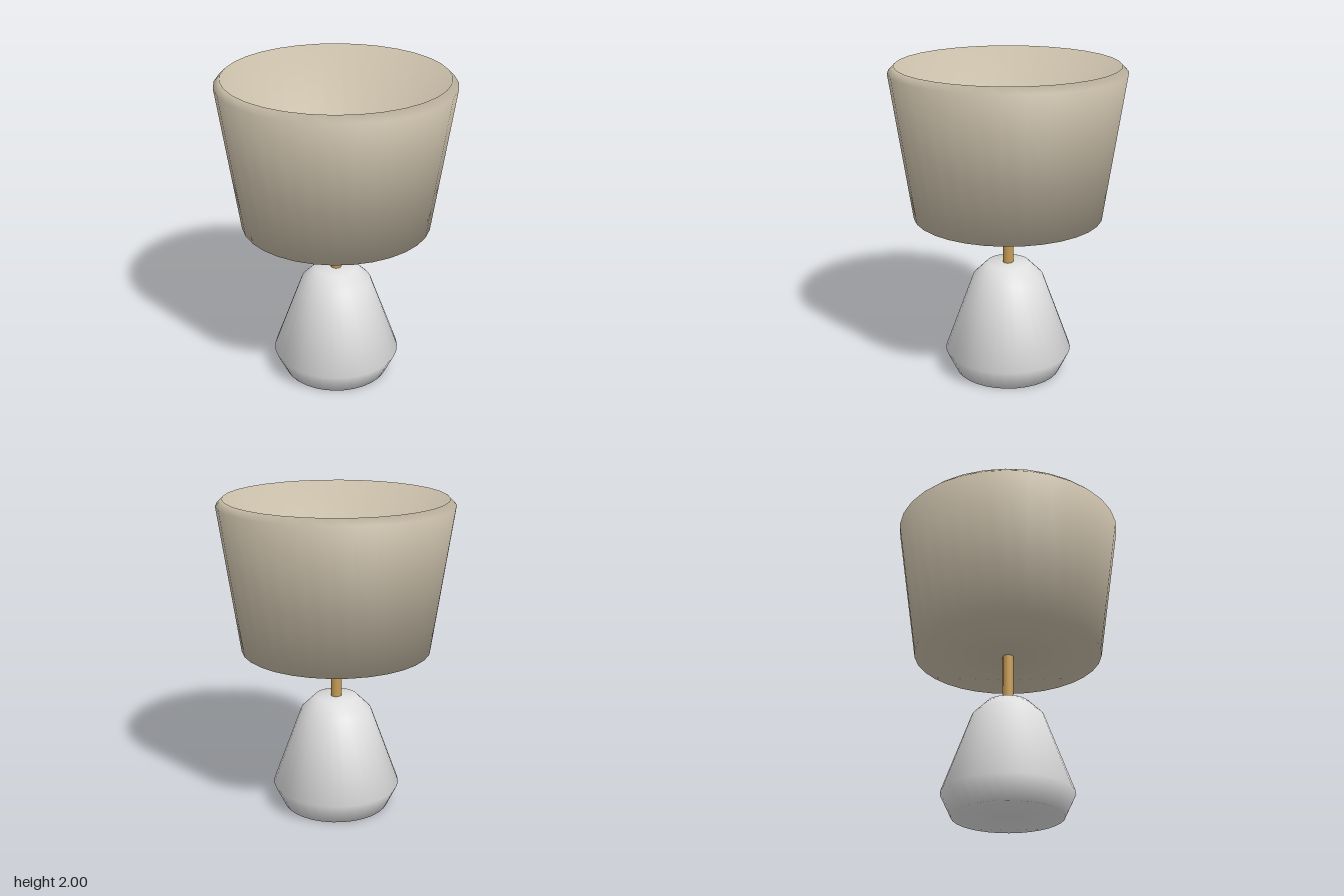
import * as THREE from 'three';

// Turned shape from [radius, height] points, shaded smoothly across every profile corner
function turned(points, segments) {
  const profile = points.map(([r, y]) => new THREE.Vector2(r, y));
  const geo = new THREE.LatheGeometry(profile, segments);
  const sides = profile.slice(1).map((p, i) => {
    const d = p.clone().sub(profile[i]).normalize();
    return new THREE.Vector2(d.y, -d.x);
  });
  // Each corner takes the even average of the two sides that meet there
  const corners = profile.map((p, j) => {
    const a = sides[Math.max(j - 1, 0)];
    const b = sides[Math.min(j, sides.length - 1)];
    return a.clone().add(b).normalize();
  });
  for (let i = 0; i <= segments; i++) {
    const phi = (i / segments) * Math.PI * 2;
    corners.forEach((n, j) => geo.attributes.normal.setXYZ(
      i * corners.length + j, n.x * Math.sin(phi), n.y, n.x * Math.cos(phi)));
  }
  return geo;
}

export function createModel() {
  const model = new THREE.Group();
  model.name = 'tableLamp';

  const ceramic = new THREE.MeshStandardMaterial({ color: 0xdedede });
  ceramic.name = 'white ceramic';
  const brass = new THREE.MeshStandardMaterial({ color: 0xc69c53 });
  brass.name = 'brass';
  const linen = new THREE.MeshStandardMaterial({ color: 0xc8bda8, side: THREE.DoubleSide });
  linen.name = 'beige linen';

  const add = (name, geometry, material, y = 0) => {
    const mesh = new THREE.Mesh(geometry, material);
    mesh.name = name;
    mesh.position.y = y;
    model.add(mesh);
  };

  // Tapered foot with chamfered top and bottom
  add('base', turned([[0, 0], [0.34, 0], [0.407, 0.14], [0.225, 0.64], [0.135, 0.73], [0, 0.73]], 32), ceramic);

  // Stem from the foot up to the bulb
  add('stem', new THREE.CylinderGeometry(0.034, 0.034, 0.7, 12), brass, 1.05);

  // Bowl-shaped shade: outer floor and wall, chamfered rim, inner wall and floor
  add('shade', turned([
    [0, 1.05], [0.593, 1.05], [0.725, 1.96], [0.685, 2], [0.555, 1.09], [0, 1.09],
  ], 32), linen);

  // Bulb inside the shade
  add('bulb', new THREE.SphereGeometry(0.1, 12, 8), linen, 1.45);

  return model;
}
